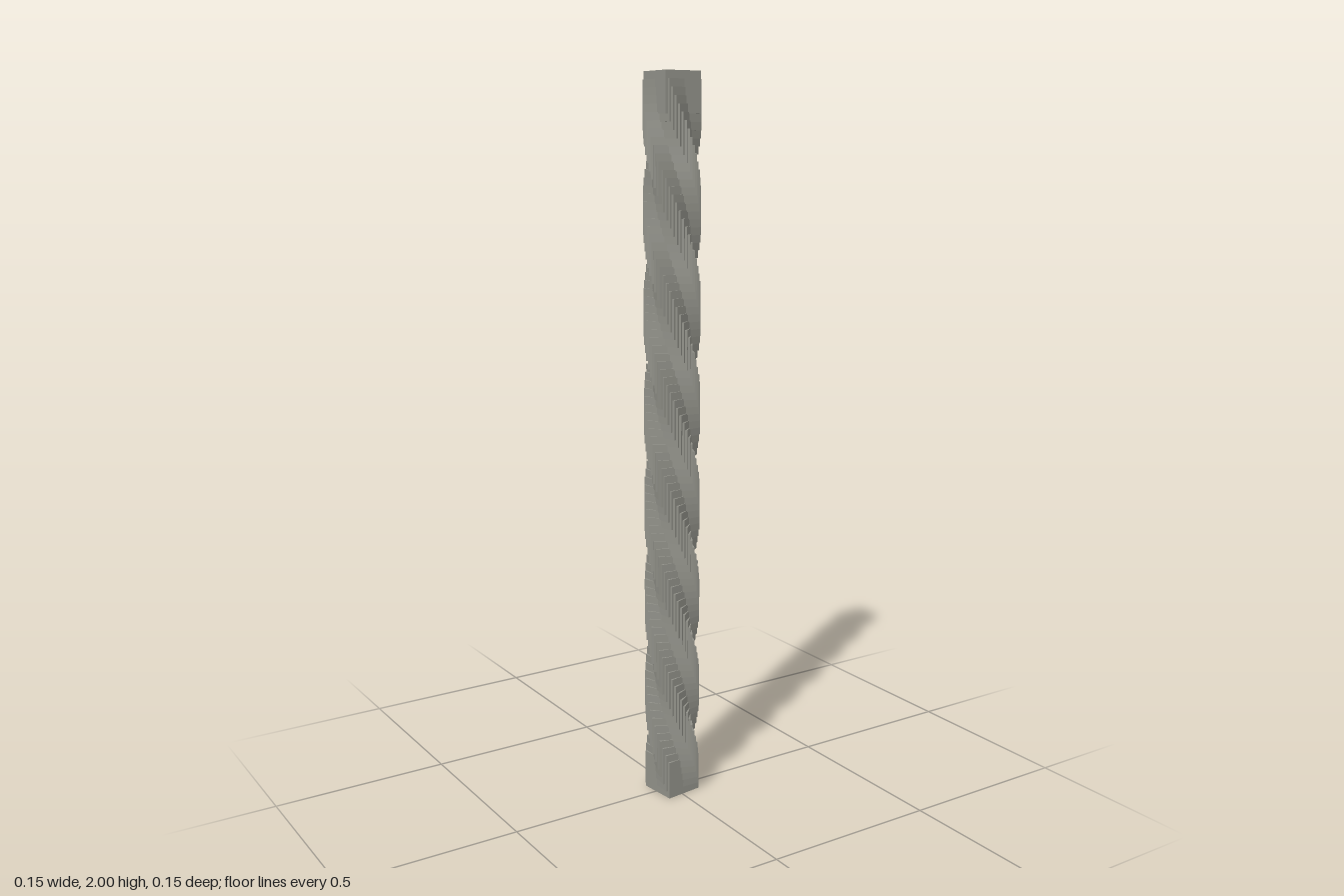
import * as THREE from 'three';

// Twisted square column: overlapping cubes climbing in small steps, each turned a little further
export function createModel() {
  const group = new THREE.Group();
  group.name = 'twistedColumn';

  const count = 92;
  const side = 0.108;
  const rise = (2 - side) / (count - 1);
  const turn = THREE.MathUtils.degToRad(7);

  const material = new THREE.MeshStandardMaterial({ color: 0x909088, flatShading: true });
  const geometry = new THREE.BoxGeometry(side, side, side);

  // Placed from the top cube, which is square to the axes, down to the ground
  for (let i = 0; i < count; i++) {
    const block = new THREE.Mesh(geometry, material);
    block.name = `block${i + 1}`;
    block.position.y = 2 - side / 2 - i * rise;
    block.rotation.y = i * turn;
    group.add(block);
  }
  return group;
}
